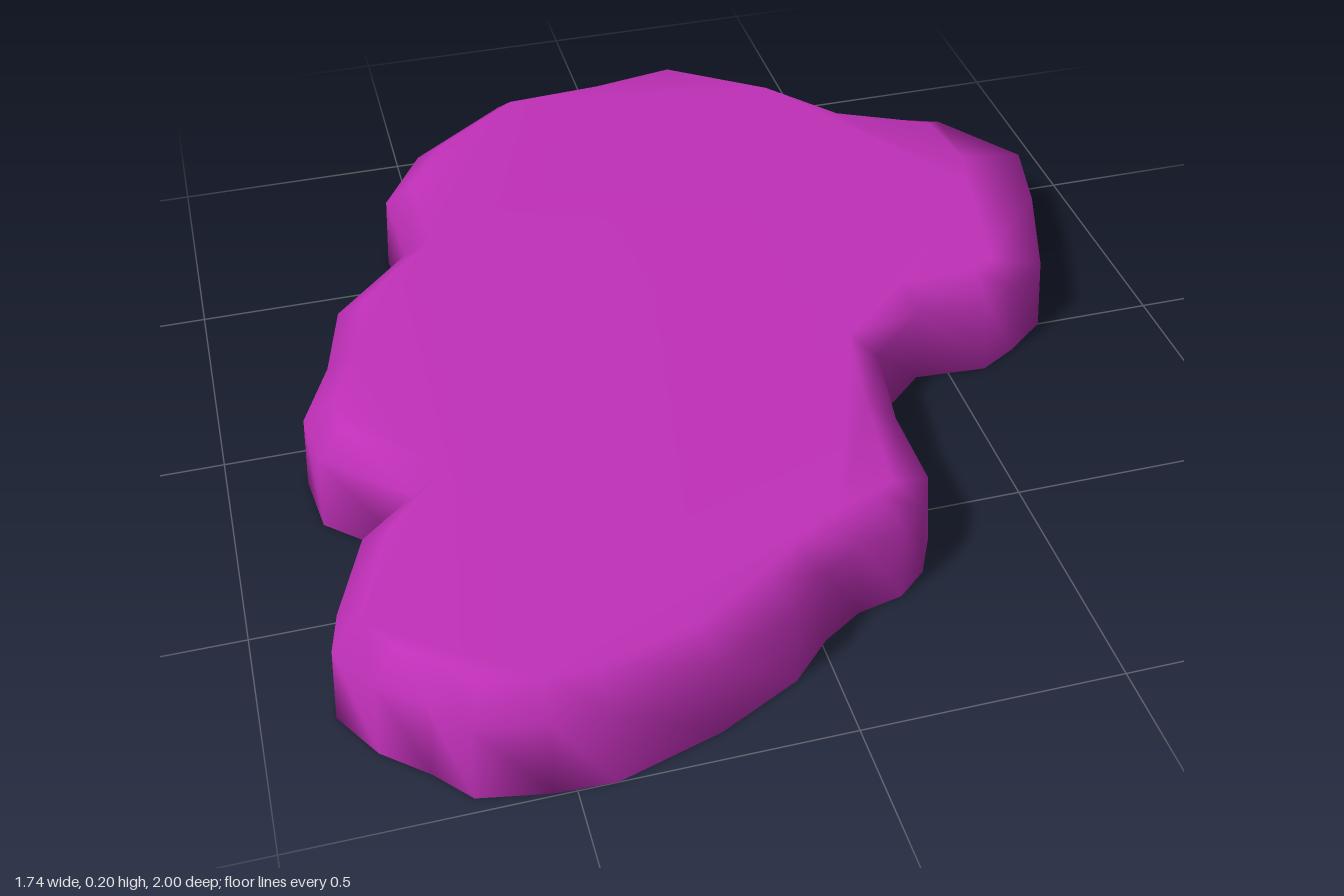
import * as THREE from 'three';

// Ground outline as x, z pairs, clockwise seen from above
const OUTLINE = [
  [-0.26, -0.95], [-0.03, -0.97], [0.18, -1], [0.41, -0.84], [0.53, -0.69], [0.74, -0.61],
  [0.87, -0.42], [0.83, -0.24], [0.75, 0], [0.66, 0.07], [0.58, 0.115], [0.43, 0.105],
  [0.31, 0.21], [0.28, 0.4], [0.28, 0.58], [0.24, 0.66], [0.18, 0.71], [0.09, 0.73],
  [0.01, 0.78], [-0.07, 0.86], [-0.23, 0.94], [-0.43, 1], [-0.54, 0.995], [-0.67, 0.97],
  [-0.73, 0.9], [-0.81, 0.83], [-0.87, 0.73], [-0.85, 0.64], [-0.78, 0.46], [-0.67, 0.38],
  [-0.83, 0.23], [-0.845, 0.1], [-0.78, -0.05], [-0.735, -0.23], [-0.57, -0.4],
  [-0.58, -0.61], [-0.48, -0.78],
].map(([x, z]) => new THREE.Vector2(x, z));

// Moves every outline point inward along the averaged edge normal
function inset(points, amount) {
  const n = points.length;
  return points.map((p, i) => {
    const t = points[(i + 1) % n].clone().sub(points[(i + n - 1) % n]).normalize();
    const d = amount(p);
    return new THREE.Vector2(p.x - t.y * d, p.y + t.x * d);
  });
}

// Slab from stacked outlines, closed by a flat cap at each end
function slabGeometry(rings) {
  const n = rings[0].points.length;
  const positions = [];
  const index = [];
  for (const { y, points } of rings) points.forEach((p) => positions.push(p.x, y, p.y));

  for (let r = 0; r < rings.length - 1; r++) {
    for (let i = 0; i < n; i++) {
      const j = (i + 1) % n;
      const a = r * n + i, b = r * n + j;
      index.push(a, a + n, b + n, a, b + n, b);
    }
  }

  const cap = (r, faceUp) => {
    const pts = rings[r].points;
    for (const [a, b, c] of THREE.ShapeUtils.triangulateShape(pts.slice(), [])) {
      const up = pts[b].clone().sub(pts[a]).cross(pts[c].clone().sub(pts[a])) < 0;
      const tri = up === faceUp ? [a, b, c] : [a, c, b];
      index.push(...tri.map((k) => k + r * n));
    }
  };
  cap(0, false);
  cap(rings.length - 1, true);

  const geometry = new THREE.BufferGeometry();
  geometry.setAttribute('position', new THREE.Float32BufferAttribute(positions, 3));
  geometry.setIndex(index);
  geometry.computeVertexNormals();
  return geometry;
}

export function createModel() {
  const group = new THREE.Group();
  group.name = 'puddleSlab';

  // The bevel widens towards the right-hand lobe's tip
  const bevel = (p) => 0.07 + 0.1 * THREE.MathUtils.smoothstep(p.x, 0.68, 0.87);
  const geometry = slabGeometry([
    { y: 0, points: OUTLINE },
    { y: 0.16, points: inset(OUTLINE, () => 0.01) },
    { y: 0.205, points: inset(OUTLINE, bevel) },
  ]);

  const slab = new THREE.Mesh(geometry, new THREE.MeshStandardMaterial({ color: 0xc030b8 }));
  slab.name = 'slab';
  group.add(slab);
  return group;
}
